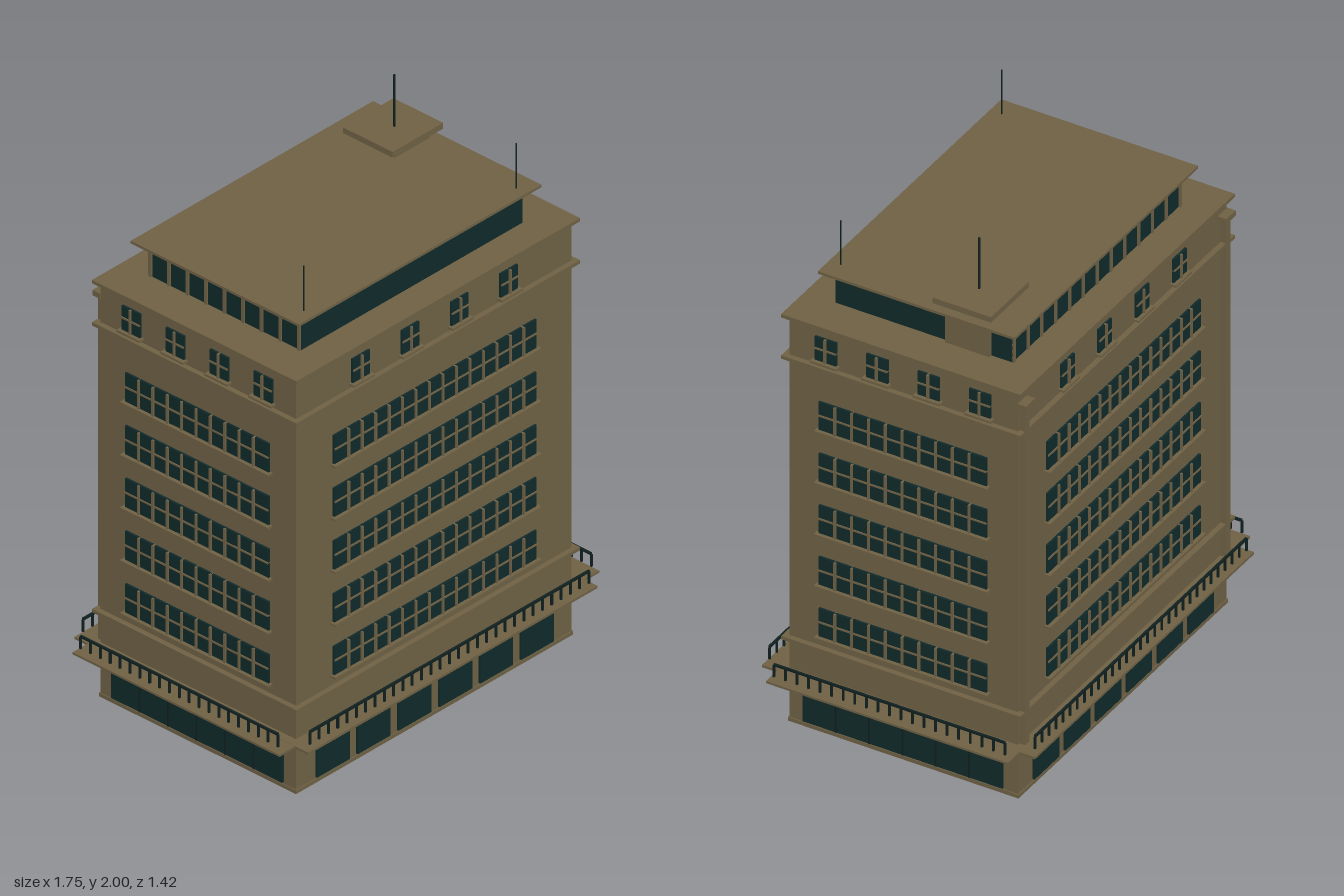
import * as THREE from 'three';

const stone = new THREE.MeshStandardMaterial({ name: 'brownStone', color: 0x6e6044 });
const glass = new THREE.MeshStandardMaterial({ name: 'darkGlass', color: 0x10292a });
const metal = new THREE.MeshStandardMaterial({ name: 'darkMetal', color: 0x10201f });

// half width and half depth of the main block and of the penthouse
const W = 0.661, D = 0.4355, PW = 0.532, PD = 0.337;

// box given by its centre in x and z and its bottom and top in y
function box(parent, name, mat, w, y0, y1, d, x = 0, z = 0) {
  const mesh = new THREE.Mesh(new THREE.BoxGeometry(w, y1 - y0, d), mat);
  mesh.position.set(x, (y0 + y1) / 2, z);
  mesh.name = name;
  parent.add(mesh);
  return mesh;
}

// group whose z axis points out of one side of the building, with z = 0 on that wall
function side(parent, name, angle, dist) {
  const turn = new THREE.Group();
  turn.name = name;
  turn.rotation.y = angle;
  turn.position.set(Math.sin(angle) * dist, 0, Math.cos(angle) * dist);
  parent.add(turn);
  return turn;
}

// glazed opening with frame, mullions, transom and sill
function windowUnit(parent, name, x, w, y0, y1, panes) {
  const g = new THREE.Group();
  g.name = name;
  g.position.x = x;
  parent.add(g);
  box(g, 'glass', glass, w, y0, y1, 0.016);
  for (let i = 1; i < panes; i++) {
    box(g, 'mullion', stone, 0.008, y0, y1, 0.03, -w / 2 + (i * w) / panes);
  }
  const mid = y0 + (y1 - y0) * 0.52;
  box(g, 'transom', stone, w, mid - 0.003, mid + 0.003, 0.024);
  box(g, 'sill', stone, w + 0.02, y0 - 0.008, y0, 0.044);
}

function railing(parent, length, z) {
  const g = new THREE.Group();
  g.name = 'railing';
  g.position.z = z;
  parent.add(g);
  box(g, 'topRail', metal, length, 0.268, 0.276, 0.008);
  const n = Math.round(length / 0.045);
  for (let i = 0; i <= n; i++) {
    box(g, 'baluster', metal, 0.007, 0.224, 0.27, 0.007, -length / 2 + (i * length) / n);
  }
}

function antenna(parent, name, x, z, y0, y1, r) {
  const mesh = new THREE.Mesh(new THREE.CylinderGeometry(r, r, y1 - y0, 8), metal);
  mesh.position.set(x, (y0 + y1) / 2, z);
  mesh.name = name;
  parent.add(mesh);
}

export function createModel() {
  const model = new THREE.Group();
  model.name = 'officeBuilding';
  const b = new THREE.Group();
  b.name = 'building';
  b.rotation.y = Math.PI / 10;
  model.add(b);

  // main block, plinth and string courses
  box(b, 'mainBlock', stone, 2 * W, 0, 1.598, 2 * D);
  box(b, 'plinth', stone, 2 * W + 0.008, 0, 0.014, 2 * D + 0.008);
  for (const y of [0.183, 0.325, 1.434, 1.597]) {
    box(b, 'course', stone, 2 * W + 0.04, y, y + 0.013, 2 * D + 0.04);
    box(b, 'courseStep', stone, 2 * W + 0.016, y - 0.01, y, 2 * D + 0.016);
  }

  // canopy slabs, crossing at the corners
  box(b, 'longCanopy', stone, 1.39, 0.2, 0.209, 1.04);
  box(b, 'shortCanopy', stone, 1.536, 0.2005, 0.2085, 0.922);

  // four walls with their windows, shopfronts and railings
  const walls = [
    ['frontWall', 0, true], ['rightWall', Math.PI / 2, false],
    ['backWall', Math.PI, true], ['leftWall', -Math.PI / 2, false],
  ];
  for (const [name, angle, long] of walls) {
    const wall = side(b, name, angle, long ? D : W);
    for (let i = 0; i < 5; i++) {
      const y = 0.378 + i * 0.204;
      windowUnit(wall, 'ribbonWindow', 0, long ? 0.97 : 0.64, y, y + 0.11, long ? 15 : 10);
    }
    for (let i = 0; i < 4; i++) {
      windowUnit(wall, 'atticWindow', (i - 1.5) * (long ? 0.237 : 0.196), 0.082, 1.466, 1.558, 2);
    }
    if (long) {
      for (let i = 0; i < 6; i++) {
        box(wall, 'shopWindow', glass, 0.157, 0.02, 0.172, 0.016, (i - 2.5) * 0.196);
      }
    } else {
      box(wall, 'shopWindow', glass, 0.762, 0.02, 0.172, 0.016);
      for (let i = 1; i < 6; i++) {
        box(wall, 'shopMullion', metal, 0.006, 0.02, 0.172, 0.02, -0.381 + i * 0.127);
      }
    }
    railing(wall, long ? 1.34 : 0.88, long ? 0.07 : 0.091);
  }

  // downpipes on the rear corners
  for (const s of [-1, 1]) {
    box(b, 'downpipe', stone, 0.028, 0.209, 1.54, 0.024, s * 0.637, -D - 0.009);
    box(b, 'rainHead', stone, 0.06, 1.538, 1.558, 0.034, s * 0.635, -D - 0.016);
  }

  // glazed penthouse with posts on the rear and left
  box(b, 'penthouseGlass', glass, 2 * PW, 1.605, 1.742, 2 * PD);
  const rear = side(b, 'penthouseRear', Math.PI, PD);
  for (let i = 0; i <= 12; i++) {
    box(rear, 'post', stone, 0.012, 1.605, 1.742, 0.012, (i / 6 - 1) * (PW - 0.006));
  }
  const left = side(b, 'penthouseLeft', -Math.PI / 2, PW);
  for (let i = 0; i <= 8; i++) {
    box(left, 'post', stone, 0.012, 1.605, 1.742, 0.012, (i / 4 - 1) * (PD - 0.006));
  }
  box(b, 'penthouseRoof', stone, 1.164, 1.74, 1.75, 0.75);

  // stair tower and its cap
  box(b, 'stairTower', stone, 0.168, 1.605, 1.78, 0.17, 0.461, -0.172);
  box(b, 'towerCap', stone, 0.243, 1.778, 1.8, 0.222, 0.461, -0.174);

  antenna(b, 'mainAntenna', 0.459, -0.166, 1.8, 2, 0.004);
  for (const s of [-1, 1]) antenna(b, 'cornerAntenna', s * 0.51, 0.33, 1.75, 1.924, 0.0025);

  return model;
}
